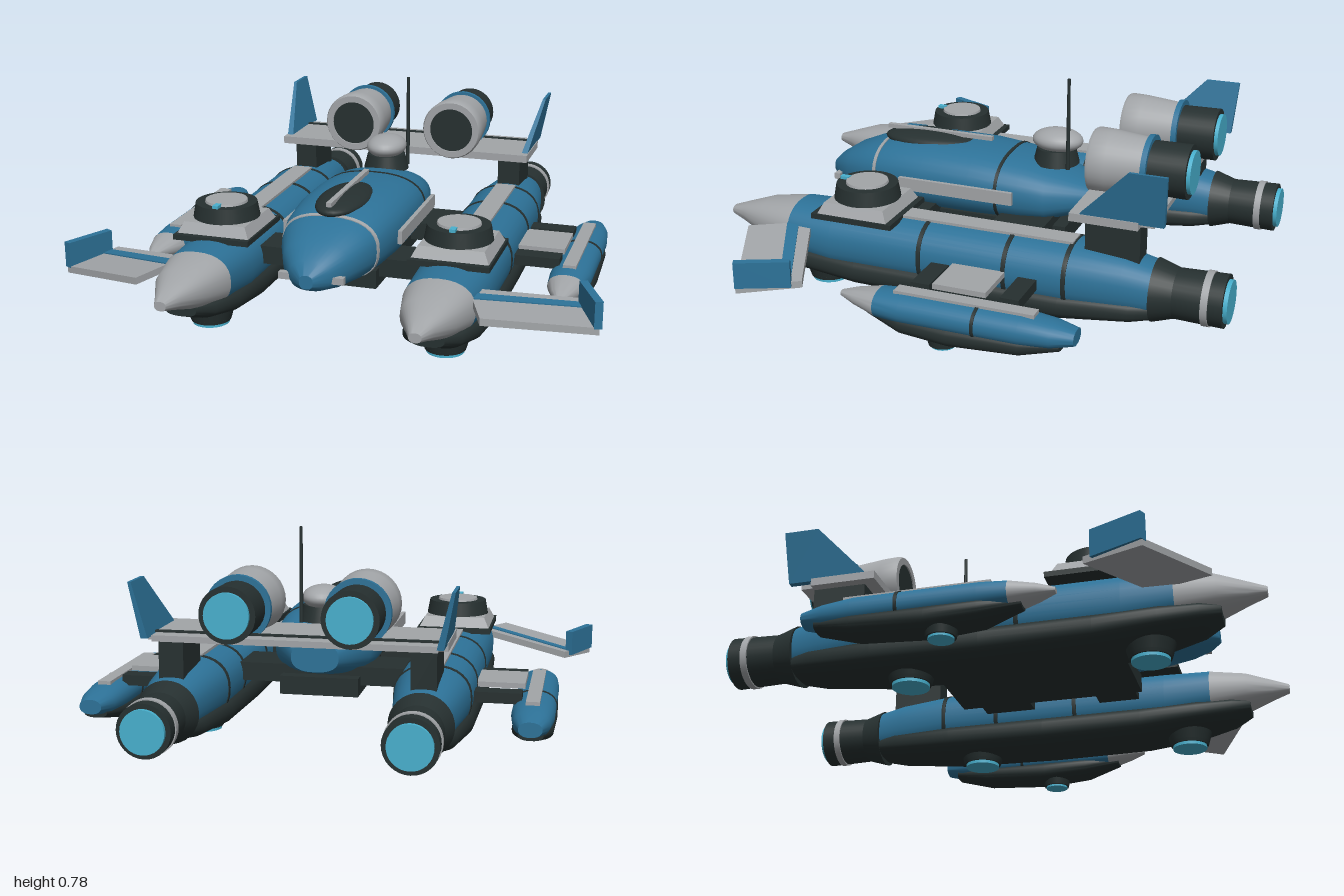
import * as THREE from 'three';
import { toCreasedNormals } from 'three/addons/utils/BufferGeometryUtils.js';
import { ConvexGeometry } from 'three/addons/geometries/ConvexGeometry.js';

export function createModel() {
  const root = new THREE.Group();
  root.name = 'gunship';
  const mat = (name, color) => Object.assign(new THREE.MeshStandardMaterial({ color }), { name });
  const blue = mat('hullBlue', 0x2d7298);
  const grey = mat('panelGrey', 0xa2a5a8);
  const dark = mat('darkMetal', 0x263030);
  const cyan = mat('thrusterGlow', 0x48b0ce);

  const add = (name, geo, m, x = 0, y = 0, z = 0) => {
    const mesh = new THREE.Mesh(geo, m);
    mesh.name = name;
    mesh.position.set(x, y, z);
    root.add(mesh);
    return mesh;
  };
  const box = (name, m, w, h, d, x, y, z) => add(name, new THREE.BoxGeometry(w, h, d), m, x, y, z);
  const disc = (name, m, rTop, rBot, h, x, y, z) =>
    add(name, new THREE.CylinderGeometry(rTop, rBot, h, 32), m, x, y, z);
  // cylinder along z between z0 (rear) and z1 (front)
  const barrel = (name, m, rFront, rRear, z0, z1, x, y) => {
    const g = new THREE.CylinderGeometry(rFront, rRear, z1 - z0, 32).rotateX(Math.PI / 2);
    return add(name, g, m, x, y, (z0 + z1) / 2);
  };
  const convex = (name, m, pts) => add(name, new ConvexGeometry(pts.map(p => new THREE.Vector3(...p))), m);

  // sections run from rear to front: [z, halfWidth, bottom, top]
  const loft = (secs, power = 1, n = 32) => {
    const pos = [], idx = [];
    for (const [z, w, b, t] of secs) {
      for (let j = 0; j < n; j++) {
        const a = (j / n) * Math.PI * 2, c = Math.cos(a), s = Math.sin(a);
        const f = v => Math.sign(v) * Math.abs(v) ** power;
        pos.push(w * f(c), (b + t) / 2 + ((t - b) / 2) * f(s), z);
      }
    }
    const last = (secs.length - 1) * n;
    for (let i = 0; i < last; i += n) {
      for (let j = 0; j < n; j++) {
        const k = (j + 1) % n;
        idx.push(i + j, i + k, i + n + k, i + j, i + n + k, i + n + j);
      }
    }
    for (let j = 1; j < n - 1; j++) idx.push(0, j + 1, j, last, last + j, last + j + 1);
    const g = new THREE.BufferGeometry();
    g.setAttribute('position', new THREE.Float32BufferAttribute(pos, 3));
    g.setIndex(idx);
    return toCreasedNormals(g, 0.6);
  };
  // portion of a section list between z0 and z1, optionally swollen
  const slice = (secs, z0, z1, grow = 0) => {
    const at = z => {
      const i = Math.max(1, secs.findIndex(s => s[0] >= z));
      const a = secs[i - 1], b = secs[i], t = (z - a[0]) / (b[0] - a[0]);
      return a.map((v, k) => v + (b[k] - v) * t);
    };
    return [at(z0), ...secs.filter(s => s[0] > z0 && s[0] < z1), at(z1)]
      .map(([z, w, b, t]) => [z, w + grow, b - grow, t + grow]);
  };

  // central fuselage
  const body = [
    [-0.35, 0.09, 0.25, 0.36], [-0.2, 0.185, 0.21, 0.415], [-0.1, 0.205, 0.2, 0.44], [0.1, 0.215, 0.195, 0.46],
    [0.3, 0.212, 0.195, 0.462], [0.45, 0.195, 0.2, 0.45], [0.56, 0.168, 0.205, 0.425], [0.66, 0.125, 0.215, 0.385],
    [0.73, 0.075, 0.23, 0.34], [0.77, 0.025, 0.25, 0.3],
  ];
  add('fuselage', loft(body, 0.8), blue);
  add('fuselageSeam', loft(slice(body, -0.02, -0.008, 0.003), 0.8), dark);
  add('noseSeam', loft(slice(body, 0.505, 0.52, 0.003), 0.8), grey);
  const canopy = add('canopy', new THREE.SphereGeometry(1, 32, 16), dark, 0, 0.445, 0.34);
  canopy.scale.set(0.095, 0.036, 0.195);
  box('canopySpine', grey, 0.02, 0.016, 0.45, 0, 0.478, 0.3);
  box('bellyPlate', dark, 0.3, 0.07, 0.72, 0, 0.18, 0.08);
  disc('domeBase', dark, 0.075, 0.09, 0.06, 0, 0.45, -0.19);
  add('sensorDome', new THREE.SphereGeometry(1, 32, 16), grey, 0, 0.51, -0.195).scale.set(0.078, 0.045, 0.1);
  disc('antenna', dark, 0.006, 0.008, 0.36, 0.07, 0.6, -0.26);

  // cross beams joining the hulls
  box('rearCrossBeam', dark, 0.66, 0.07, 0.2, 0, 0.215, -0.13);
  box('frontCrossBeam', dark, 0.66, 0.07, 0.16, 0, 0.215, 0.32);

  // rear deck
  box('rearDeck', grey, 1.06, 0.03, 0.25, 0, 0.433, -0.545);
  box('rearDeckFlap', grey, 1.0, 0.022, 0.05, 0, 0.433, -0.695);
  box('rearDeckSeam', dark, 1.01, 0.006, 0.02, 0, 0.449, -0.662);

  const hull = [
    [-0.78, 0.088, 0.085, 0.262], [-0.62, 0.115, 0.08, 0.295], [-0.42, 0.14, 0.075, 0.312], [0.5, 0.142, 0.075, 0.312],
    [0.68, 0.13, 0.105, 0.308], [0.82, 0.098, 0.145, 0.288], [0.92, 0.05, 0.18, 0.256], [0.985, 0.022, 0.2, 0.234],
  ];
  const hullBelly = [
    [-0.78, 0.07, 0.085, 0.15], [-0.65, 0.115, 0.06, 0.16], [-0.4, 0.147, 0.038, 0.165], [0, 0.15, 0.03, 0.165],
    [0.4, 0.15, 0.035, 0.165], [0.62, 0.14, 0.06, 0.17], [0.76, 0.105, 0.09, 0.175], [0.83, 0.06, 0.12, 0.175],
  ];
  const pod = [
    [-0.55, 0.042, 0.1, 0.155], [-0.47, 0.066, 0.08, 0.172], [-0.36, 0.078, 0.07, 0.184], [0.08, 0.078, 0.07, 0.184],
    [0.18, 0.07, 0.08, 0.178], [0.27, 0.042, 0.105, 0.162], [0.33, 0.014, 0.125, 0.145],
  ];
  const podBelly = [
    [-0.5, 0.045, 0.075, 0.115], [-0.36, 0.075, 0.04, 0.115], [-0.1, 0.08, 0.024, 0.115],
    [0.08, 0.075, 0.04, 0.115], [0.22, 0.03, 0.08, 0.12],
  ];

  for (const s of [-1, 1]) {
    const x = 0.447 * s, px = 0.803 * s;

    // fuselage side rails and nose lamps
    box('sideRail', grey, 0.016, 0.05, 0.47, 0.222 * s, 0.33, 0.145);
    box('noseLamp', grey, 0.045, 0.025, 0.025, 0.097 * s, 0.272, 0.71);

    // main hull
    add('hull', loft(slice(hull, -0.78, 0.68), 0.85), blue).position.x = x;
    add('hullNose', loft(slice(hull, 0.68, 0.985), 0.85), grey).position.x = x;
    add('hullBelly', loft(hullBelly, 0.75), dark).position.x = x;
    for (const z of [-0.43, -0.205, 0.125]) {
      add('hullSeam', loft(slice(hull, z, z + 0.016, 0.003), 0.85), dark).position.x = x;
    }
    box('hullTopStrip', grey, 0.08, 0.014, 0.67, x, 0.312, -0.09);
    for (const z of [0.575, -0.29]) {
      disc('liftThrusterHousing', dark, 0.09, 0.075, 0.05, x, 0.04, z);
      disc('liftThrusterGlow', cyan, 0.068, 0.068, 0.015, x, 0.0075, z);
      disc('liftThrusterRim', dark, 0.078, 0.074, 0.012, x, 0.018, z);
    }

    // hull engine
    barrel('engineCollar', dark, 0.115, 0.09, -0.8, -0.72, x, 0.17);
    barrel('engineNozzle', dark, 0.09, 0.096, -0.975, -0.77, x, 0.17);
    barrel('engineRing', grey, 0.099, 0.099, -0.925, -0.9, x, 0.17);
    barrel('engineGlow', cyan, 0.078, 0.078, -0.99, -0.95, x, 0.17);

    // turret on a stepped square base
    box('turretFrame', dark, 0.295, 0.02, 0.325, x, 0.31, 0.4);
    const base = new THREE.CylinderGeometry(0.12 * Math.SQRT2, 0.14 * Math.SQRT2, 0.04, 4).rotateY(Math.PI / 4);
    add('turretBase', base.toNonIndexed(), grey, x, 0.34, 0.4).geometry.computeVertexNormals();
    disc('turretRing', dark, 0.115, 0.125, 0.055, x, 0.387, 0.4);
    disc('turretCap', grey, 0.078, 0.082, 0.014, x, 0.416, 0.4);
    box('turretMarker', cyan, 0.022, 0.012, 0.035, x, 0.42, 0.49);

    // drooping front wing with painted strip and winglet
    const wy = u => 0.25 - (u - 0.56) * 0.155;
    const corners = [[0.53, 0.6], [0.89, 0.44], [0.99, 0.65], [0.62, 0.82]];
    const slab = (name, m, quad, lo, hi) => convex(name, m,
      quad.flatMap(([u, z]) => [[u * s, wy(u) + lo, z], [u * s, wy(u) + hi, z]]));
    slab('frontWing', grey, corners, -0.026, 0);
    slab('frontWingStrip', blue, [[0.55, 0.642], [0.907, 0.476], [0.924, 0.512], [0.565, 0.684]], -0.002, 0.004);
    convex('winglet', blue, [0.18, 0.278].flatMap(y =>
      [[0.892, 0.48], [0.918, 0.468], [0.998, 0.648], [0.972, 0.66]].map(([u, z]) => [u * s, y, z])));

    // outer pod
    add('pod', loft(slice(pod, -0.55, 0.18), 0.9), blue).position.x = px;
    add('podNose', loft(slice(pod, 0.18, 0.33), 0.9), grey).position.x = px;
    add('podBelly', loft(podBelly, 0.8), dark).position.x = px;
    add('podSeam', loft(slice(pod, -0.205, -0.193, 0.003), 0.9), dark).position.x = px;
    box('podTopStrip', grey, 0.05, 0.014, 0.52, px, 0.185, -0.145);
    disc('podThrusterRim', dark, 0.058, 0.052, 0.03, px, 0.025, -0.06);
    disc('podThrusterGlow', cyan, 0.045, 0.045, 0.012, px, 0.008, -0.06);

    // pod mounts
    box('podMountPlate', grey, 0.2, 0.02, 0.2, 0.665 * s, 0.2, -0.105);
    for (const z of [-0.29, 0.045]) box('podStrut', dark, 0.2, 0.04, 0.07, 0.66 * s, 0.18, z);

    // deck pylon and canted tail fin
    box('deckPylon', dark, 0.09, 0.17, 0.2, x, 0.34, -0.57);
    convex('tailFin', blue, [
      ...[[0.5, -0.45], [0.525, -0.45], [0.5, -0.76], [0.525, -0.76]].map(([u, z]) => [u * s, 0.44, z]),
      ...[[0.55, -0.64], [0.562, -0.64], [0.55, -0.775], [0.562, -0.775]].map(([u, z]) => [u * s, 0.638, z]),
    ]);

    // rear jet engine
    const ex = 0.212 * s, ey = 0.533;
    const cowl = [[0.088, 0.015], [0.09, 0], [0.116, 0], [0.122, 0.012], [0.12, 0.07], [0.106, 0.21]]
      .map(([r, d]) => new THREE.Vector2(r, -0.41 - d)).reverse();
    add('jetCowl', toCreasedNormals(new THREE.LatheGeometry(cowl, 32).rotateX(Math.PI / 2), 0.6), grey, ex, ey);
    barrel('jetIntake', dark, 0.09, 0.09, -0.6, -0.415, ex, ey);
    barrel('jetCollar', blue, 0.118, 0.118, -0.632, -0.612, ex, ey);
    barrel('jetNozzle', dark, 0.098, 0.1, -0.772, -0.61, ex, ey);
    barrel('jetGlow', cyan, 0.08, 0.08, -0.786, -0.75, ex, ey);
  }
  return root;
}
